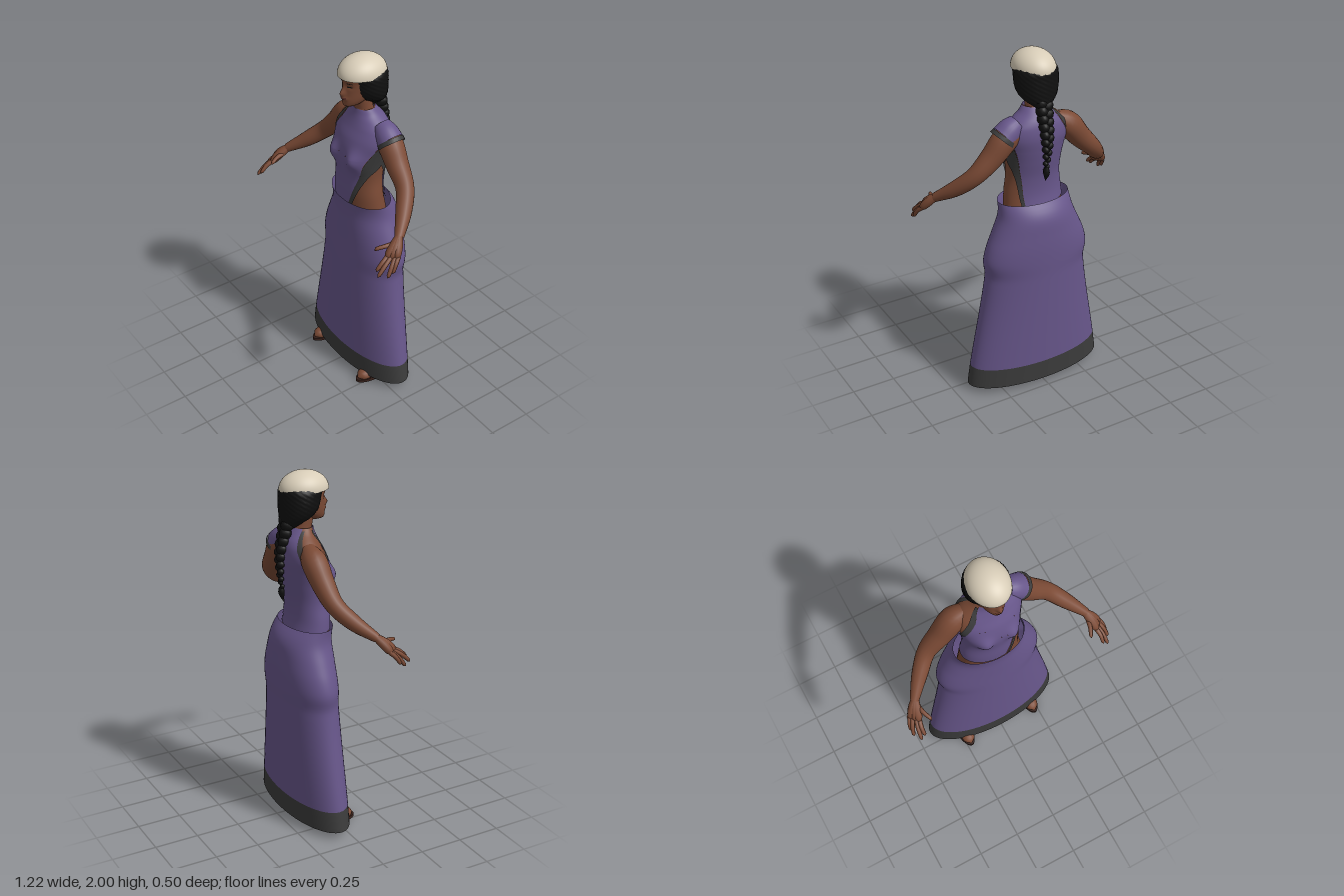
import * as THREE from 'three';
import { mergeVertices } from 'three/addons/utils/BufferGeometryUtils.js';

const mat = (name, color, side = THREE.FrontSide) => Object.assign(new THREE.MeshStandardMaterial({ color, side }), { name });

// Smooth interpolation of table rows [key, a, b, ...] at key y
function at(t, y) {
  let i = 0;
  while (i < t.length - 2 && y > t[i + 1][0]) i++;
  const p = t[i], q = t[i + 1], h = q[0] - p[0];
  const s = Math.min(1, Math.max(0, (y - p[0]) / h));
  const o = t[Math.max(0, i - 1)], r = t[Math.min(t.length - 1, i + 2)];
  return p.slice(1).map((a, k) => {
    const b = q[k + 1];
    const m = (b - o[k + 1]) / (q[0] - o[0]) * h, n = (r[k + 1] - a) / (r[0] - p[0]) * h;
    return (2 * s ** 3 - 3 * s * s + 1) * a + (s ** 3 - 2 * s * s + s) * m + (3 * s * s - 2 * s ** 3) * b + (s ** 3 - s * s) * n;
  });
}

function weld(g) {
  g.deleteAttribute('uv');
  g.deleteAttribute('normal');
  g = mergeVertices(g, 1e-5);
  g.computeVertexNormals();
  return g;
}

// Surface over rows [y, halfWidth, zFront, zBack] between two angle limits (0 = front, 90 = +x)
function patch(table, y0, y1, a0, a1, { off = 0, bump = null, nu = 40, nv = 24 } = {}) {
  const lim = (a, y) => typeof a === 'number' ? a : at(a, y)[0];
  const pos = [], idx = [];
  for (let j = 0; j <= nv; j++) {
    const y = y0 + (y1 - y0) * j / nv;
    const [w, f, b] = at(table, y), lo = lim(a0, y), hi = lim(a1, y);
    for (let i = 0; i <= nu; i++) {
      const a = (lo + (hi - lo) * i / nu) * Math.PI / 180;
      const x = (w + off) * Math.sin(a);
      let z = (f + b) / 2 + ((f - b) / 2 + off) * Math.cos(a);
      if (bump && Math.cos(a) > 0) z += bump(x, y) * Math.min(1, Math.cos(a) * 2);
      pos.push(x, y, z);
      if (i < nu && j < nv) {
        const p = j * (nu + 1) + i, q = p + nu + 1;
        idx.push(p, p + 1, q, p + 1, q + 1, q);
      }
    }
  }
  const g = new THREE.BufferGeometry();
  g.setAttribute('position', new THREE.Float32BufferAttribute(pos, 3));
  g.setIndex(idx);
  return weld(g);
}

// Tube through points [x, y, z, radius]
function limb(pts, seg = 24, sides = 14) {
  const c = new THREE.CatmullRomCurve3(pts.map(p => new THREE.Vector3(p[0], p[1], p[2])));
  const radii = pts.map((p, i) => [i, p[3]]);
  const g = new THREE.TubeGeometry(c, seg, 1, sides), P = g.attributes.position, v = new THREE.Vector3();
  for (let i = 0; i <= seg; i++) {
    const m = c.getPointAt(i / seg), r = at(radii, c.getUtoTmapping(i / seg) * (pts.length - 1))[0];
    for (let k = 0; k <= sides; k++) {
      const n = i * (sides + 1) + k;
      v.fromBufferAttribute(P, n).sub(m).multiplyScalar(r).add(m);
      P.setXYZ(n, v.x, v.y, v.z);
    }
  }
  return weld(g);
}

const SKIRT = [[0.04, 0.42, 0.1, -0.23], [0.16, 0.402, 0.097, -0.232], [0.72, 0.305, 0.075, -0.245], [0.82, 0.316, 0.07, -0.25],
  [0.9, 0.297, 0.066, -0.252], [0.98, 0.262, 0.063, -0.25], [1.07, 0.222, 0.06, -0.243], [1.12, 0.212, 0.062, -0.222], [1.16, 0.21, 0.065, -0.19]];
const TORSO = [[0.95, 0.18, 0.045, -0.2], [1.1, 0.172, 0.05, -0.175], [1.2, 0.165, 0.053, -0.157], [1.3, 0.153, 0.052, -0.16], [1.4, 0.16, 0.058, -0.178],
  [1.47, 0.172, 0.053, -0.19], [1.54, 0.185, 0.034, -0.198], [1.6, 0.17, 0.005, -0.192], [1.64, 0.128, -0.012, -0.178], [1.67, 0.088, -0.022, -0.155], [1.7, 0.062, -0.028, -0.128]];
const HEAD = [[1.725, 0.004, 0.02, 0], [1.735, 0.032, 0.046, -0.05], [1.755, 0.051, 0.052, -0.09], [1.785, 0.067, 0.051, -0.14],
  [1.83, 0.078, 0.048, -0.17], [1.87, 0.083, 0.049, -0.18], [1.9, 0.085, 0.053, -0.18], [1.95, 0.06, 0.02, -0.14]];
const HAIR = [[1.7, 0.025, -0.12, -0.19], [1.735, 0.07, -0.075, -0.2], [1.765, 0.1, -0.03, -0.203], [1.81, 0.117, 0.005, -0.205],
  [1.87, 0.12, 0.02, -0.205], [1.91, 0.112, 0.03, -0.202], [1.94, 0.08, 0, -0.17]];

const gauss = (x, y, cx, cy, rx, ry) => Math.exp(-(((x - cx) / rx) ** 2) - ((y - cy) / ry) ** 2);
const bust = (x, y) => 0.034 * (gauss(x, y, 0.088, 1.43, 0.046, 0.055) + gauss(x, y, -0.088, 1.43, 0.046, 0.055));
const face = (x, y) => 0.024 * gauss(x, y, 0, 1.812, 0.013, 0.02) + 0.008 * gauss(x, y, 0, 1.84, 0.01, 0.025)
  + 0.009 * gauss(x, y, 0, 1.783, 0.025, 0.011) - 0.005 * (gauss(x, y, 0.034, 1.853, 0.016, 0.012) + gauss(x, y, -0.034, 1.853, 0.016, 0.012));

// Garment edges: [y, angle]
const FRONT_CUT = [[1.14, 14], [1.25, 29], [1.35, 46], [1.45, 58], [1.54, 74]];
const FRONT_SKIN = [[1.14, 22], [1.25, 41], [1.35, 68], [1.41, 96], [1.54, 96]];
const BACK_CUT = [[1.14, 147], [1.25, 140], [1.35, 132], [1.45, 126], [1.54, 116]];
const BACK_SKIN = [[1.14, 140], [1.25, 129], [1.35, 112], [1.41, 96], [1.54, 96]];
const ARM_FRONT = [[1.45, -88], [1.5, -62], [1.6, -37], [1.64, -41], [1.67, -52], [1.7, -62]];
const ARM_BACK = [[1.45, 272], [1.5, 242], [1.6, 222], [1.64, 226], [1.67, 232], [1.7, 240]];
const shift = (t, d) => t.map(([y, a]) => [y, a + d]);

export function createModel() {
  const root = new THREE.Group();
  const purple = mat('purple cloth', 0x67568a, THREE.DoubleSide), trim = mat('charcoal trim', 0x3b3b3b, THREE.DoubleSide);
  const skin = mat('brown skin', 0x7b4a35), hair = mat('black hair', 0x101010), cream = mat('cream cap', 0xd8cdb8, THREE.DoubleSide);
  const sole = mat('dark leather', 0x38211b), lip = mat('lips', 0x5f3029);
  const add = (name, geo, m, parent = root) => {
    const o = new THREE.Mesh(geo, m);
    o.name = name;
    parent.add(o);
    return o;
  };

  // Skirt and hem
  add('skirt', patch(SKIRT, 0.16, 1.16, 0, 360, { nu: 64, nv: 50 }), purple);
  add('skirtHem', patch(SKIRT, 0.04, 0.16, 0, 360, { nu: 64, nv: 3 }), trim);

  // Body and one-shouldered top with a side cutout
  add('torso', patch(TORSO, 0.95, 1.7, 0, 360, { bump: bust, nu: 64, nv: 60 }), skin);
  const back360 = shift(FRONT_CUT, 360), cloth = { off: 0.006, bump: bust, nu: 56, nv: 26 };
  add('topLower', patch(TORSO, 1.14, 1.45, BACK_CUT, back360, cloth), purple);
  add('topFront', patch(TORSO, 1.45, 1.54, ARM_FRONT, FRONT_CUT, cloth), purple);
  add('topBack', patch(TORSO, 1.45, 1.54, BACK_CUT, ARM_BACK, cloth), purple);
  add('topUpper', patch(TORSO, 1.54, 1.7, ARM_FRONT, ARM_BACK, cloth), purple);
  const edge = { off: 0.008, bump: bust, nu: 8, nv: 30 };
  add('cutoutTrimFront', patch(TORSO, 1.14, 1.54, FRONT_CUT, FRONT_SKIN, edge), trim);
  add('cutoutTrimBack', patch(TORSO, 1.14, 1.54, BACK_SKIN, BACK_CUT, edge), trim);
  add('armholeTrimFront', patch(TORSO, 1.45, 1.69, shift(ARM_FRONT, -14), ARM_FRONT, edge), trim);
  add('armholeTrimBack', patch(TORSO, 1.45, 1.69, ARM_BACK, shift(ARM_BACK, 14), edge), trim);
  add('capSleeve', limb([[0.12, 1.62, -0.105, 0.052], [0.16, 1.595, -0.106, 0.066], [0.198, 1.562, -0.107, 0.072]], 10, 24), purple);
  add('sleeveTrim', limb([[0.195, 1.565, -0.107, 0.073], [0.212, 1.547, -0.107, 0.075]], 2, 24), trim);

  // Neck, head and face
  add('neck', limb([[0, 1.6, -0.095, 0.062], [0, 1.69, -0.078, 0.05], [0, 1.79, -0.06, 0.052]], 10, 20), skin);
  add('head', patch(HEAD, 1.725, 1.95, 0, 360, { bump: face, nu: 72, nv: 48 }), skin);
  const mark = (name, y0, y1, a0, a1, m) => add(name, patch(HEAD, y0, y1, a0, a1, { off: 0.002, bump: face, nu: 8, nv: 3 }), m);
  for (const s of [-1, 1]) {
    const [a, b] = s > 0 ? [15, 35] : [-35, -15];
    mark('eye', 1.85, 1.857, a, b, hair);
    mark('eyebrow', 1.872, 1.877, a, b + s, hair);
    const ear = add('ear', new THREE.SphereGeometry(0.02, 10, 8), skin);
    ear.scale.set(0.4, 1.2, 0.8);
    ear.position.set(s * 0.084, 1.83, -0.05);
  }
  mark('lips', 1.778, 1.79, -19, 19, lip);

  // Curly hair with a ripple, cap and plait
  const curls = patch(HAIR, 1.7, 1.94, 0, 360, { nu: 72, nv: 30 }), hp = curls.attributes.position;
  for (let i = 0; i < hp.count; i++) {
    const k = 1 + 0.018 * Math.sin(hp.getY(i) * 260) * Math.sin(Math.atan2(hp.getX(i), hp.getZ(i) + 0.09) * 18);
    hp.setXYZ(i, hp.getX(i) * k, hp.getY(i), -0.09 + (hp.getZ(i) + 0.09) * k);
  }
  curls.computeVertexNormals();
  add('hair', curls, hair);
  const cap = add('cap', new THREE.SphereGeometry(1, 40, 16, 0, Math.PI * 2, 0, Math.PI / 2), cream);
  cap.scale.set(0.113, 0.1, 0.138);
  cap.position.set(0, 1.9, -0.0675);
  const plait = new THREE.Group();
  plait.name = 'plait';
  root.add(plait);
  const path = [[0, -0.165, 0.046], [0.25, -0.19, 0.04], [0.5, -0.212, 0.033], [0.8, -0.212, 0.021], [1, -0.2, 0.014]];
  for (let i = 0; i < 20; i++) {
    const t = i / 19, s = i % 2 ? 1 : -1, [z, r] = at(path, t);
    const knot = add('plaitKnot', new THREE.SphereGeometry(r, 12, 8), hair, plait);
    knot.position.set(s * r * 0.35, 1.76 - 0.4 * t, z);
    knot.scale.set(0.85, 0.8, 0.82);
    knot.rotation.z = s * 0.6;
  }
  add('plaitTip', limb([[0, 1.38, -0.205, 0.012], [0, 1.345, -0.205, 0.018], [0, 1.295, -0.195, 0.001]], 8, 8), hair, plait);

  // Arms, hands, legs and sandals on both sides
  for (const s of [-1, 1]) {
    const side = s > 0 ? 'left' : 'right';
    const both = pts => pts.map(([x, ...r]) => [s * x, ...r]);
    add(side + 'Arm', limb(both([[0.11, 1.6, -0.105, 0.045], [0.185, 1.555, -0.108, 0.069], [0.27, 1.457, -0.1, 0.062],
      [0.36, 1.367, -0.083, 0.05], [0.44, 1.285, -0.015, 0.043], [0.522, 1.212, 0.075, 0.025]]), 30, 18), skin);
    const hand = new THREE.Group();
    hand.name = side + 'Hand';
    root.add(hand);
    for (const [x, z] of [[0.574, 0.125], [0.558, 0.145], [0.544, 0.16]]) {
      add('palm', limb(both([[0.515, 1.22, 0.068, 0.019], [(x + 0.522) / 2, 1.182, (z + 0.075) / 2, 0.025], [x, 1.145, z, 0.019], [x + 0.008, 1.132, z + 0.01, 0.001]]), 10, 10), skin, hand);
    }
    const fingers = [[0.578, 1.145, 0.118, 0.602, 1.075, 0.175], [0.57, 1.14, 0.135, 0.6, 1.058, 0.205],
      [0.556, 1.14, 0.153, 0.574, 1.065, 0.248], [0.542, 1.145, 0.162, 0.55, 1.085, 0.24], [0.52, 1.185, 0.1, 0.488, 1.165, 0.205]];
    for (const [x, y, z, X, Y, Z] of fingers) {
      add('finger', limb(both([[x, y, z, 0.013], [(x + X) / 2 + 0.004, (y + Y) / 2 + 0.008, (z + Z) / 2, 0.012], [X, Y + 0.006, Z - 0.005, 0.009], [X, Y, Z, 0.001]]), 10, 8), skin, hand);
    }
    add(side + 'Leg', limb(both([[0.085, 1.05, -0.07, 0.09], [0.12, 0.8, -0.07, 0.085], [0.165, 0.52, -0.07, 0.055],
      [0.19, 0.35, -0.085, 0.055], [0.22, 0.1, -0.08, 0.03], [0.222, 0.04, -0.08, 0.03]]), 26, 16), skin);
    const foot = add(side + 'Foot', limb([[0, 0.045, -0.128, 0.004], [0, 0.045, -0.11, 0.03], [0, 0.055, -0.05, 0.036],
      [0, 0.04, 0.03, 0.036], [0, 0.033, 0.09, 0.03], [0, 0.028, 0.115, 0.003]], 22, 14), skin);
    foot.position.x = s * 0.224;
    foot.scale.set(1.15, 0.9, 1);
    const base = add(side + 'Sole', new THREE.CylinderGeometry(1, 1, 0.018, 32), sole);
    base.scale.set(0.05, 1, 0.13);
    base.position.set(s * 0.224, 0.009, -0.005);
    const strap = add(side + 'SandalStrap', new THREE.TorusGeometry(0.042, 0.007, 6, 20, Math.PI), sole);
    strap.position.set(s * 0.224, 0.02, 0.045);
    strap.scale.set(1.05, 1.05, 2);
  }
  return root;
}
